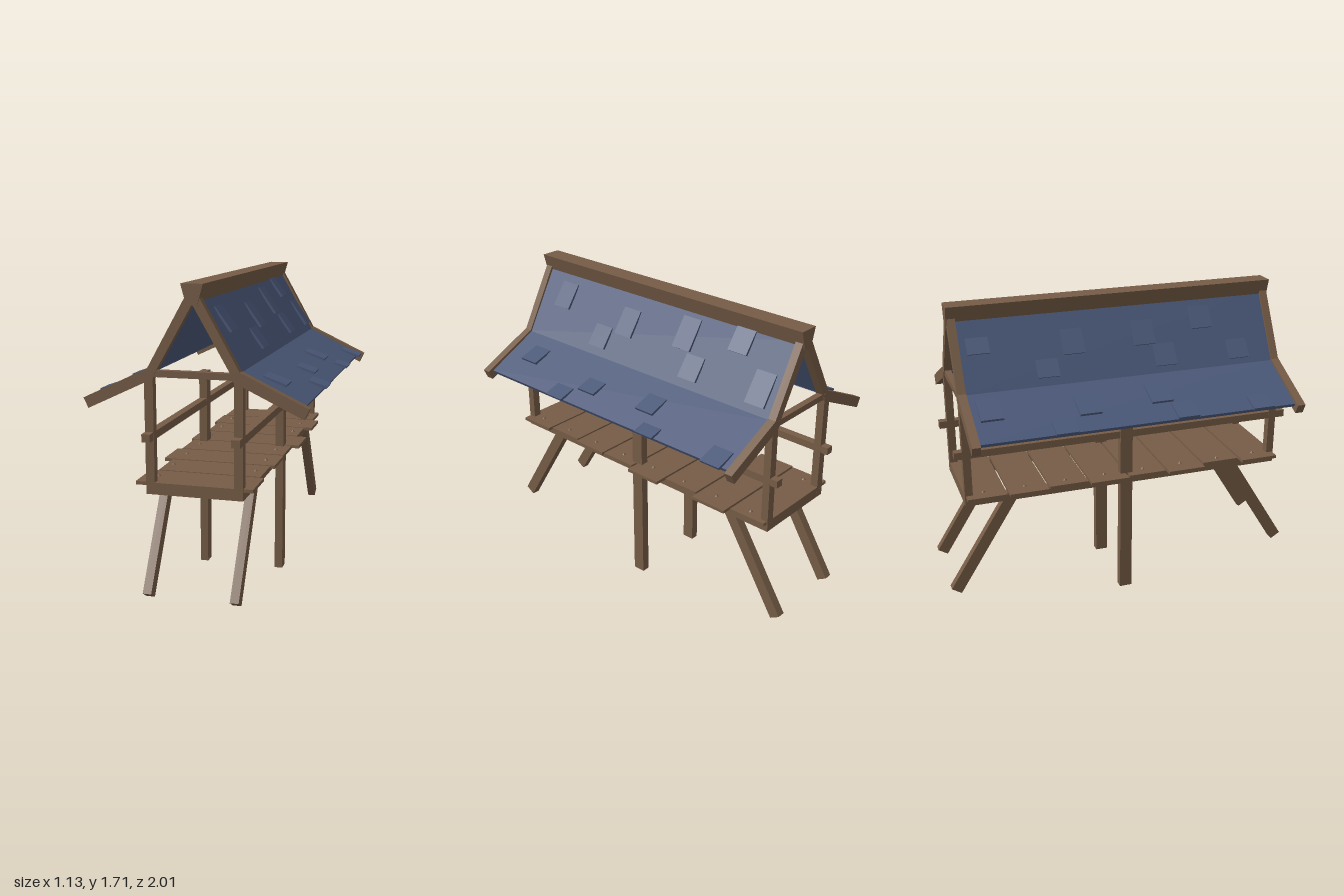
import * as THREE from 'three';

const wood = new THREE.MeshStandardMaterial({ color: 0x765c46, flatShading: true });
const slate = new THREE.MeshStandardMaterial({ color: 0x4a5878, flatShading: true });

const Z_FRONT = 0.897, Z_BACK = -0.876, Z_MID = 0.01;

export function createModel() {
  const model = new THREE.Group();

  function add(name, geometry, material, x = 0, y = 0, z = 0) {
    const mesh = new THREE.Mesh(geometry, material);
    mesh.name = name;
    mesh.position.set(x, y, z);
    model.add(mesh);
    return mesh;
  }

  // Box given by its bottom height and top height
  function beam(name, w, y0, y1, d, x, z) {
    return add(name, new THREE.BoxGeometry(w, y1 - y0, d), wood, x, (y0 + y1) / 2, z);
  }

  // Cross-section in x/y run along z; side = -1 mirrors it
  function prism(name, points, z0, z1, material, side = 1) {
    const shape = new THREE.Shape(points.map(([x, y]) => new THREE.Vector2(x * side, y)));
    const geometry = new THREE.ExtrudeGeometry(shape, { depth: z1 - z0, bevelEnabled: false });
    return add(name, geometry, material, 0, 0, z0);
  }

  // Slab between two points of a roof slope, at given offsets from its surface
  function slab(name, a, b, low, high, z0, z1, material, side) {
    const dx = b[0] - a[0], dy = b[1] - a[1], l = Math.hypot(dx, dy);
    const n = [-dy / l, dx / l];
    const at = (p, o) => [p[0] + n[0] * o, p[1] + n[1] * o];
    const pts = [at(a, low[0]), at(b, low[1]), at(b, high[1]), at(a, high[0])];
    return prism(name, pts, z0, z1, material, side);
  }

  // Roof slopes on the +x side, from the high to the low point
  const slopes = {
    upper: [[0.02, 1.645], [0.226, 1.29]],
    lower: [[0.226, 1.29], [0.532, 1.139]],
  };
  const onSlope = ([a, b], x) => [x, a[1] + (b[1] - a[1]) * (x - a[0]) / (b[0] - a[0])];

  // Loose shingles: [z centre, x at top, x at bottom]
  const shingles = {
    1: {
      upper: [[0.69, 0.055, 0.13], [0.185, 0.072, 0.15], [0.34, 0.14, 0.203], [-0.22, 0.045, 0.133],
        [-0.32, 0.137, 0.203], [-0.56, 0.03, 0.096], [-0.757, 0.117, 0.205]],
      lower: [[0.69, 0.3, 0.41], [0.185, 0.36, 0.45], [0.34, 0.455, 0.545], [-0.22, 0.32, 0.43],
        [-0.32, 0.475, 0.545], [-0.757, 0.445, 0.55]],
    },
    '-1': {
      upper: [[-0.76, 0.08, 0.125], [-0.41, 0.155, 0.205], [-0.255, 0.08, 0.15], [0.145, 0.075, 0.145],
        [0.25, 0.145, 0.208], [0.49, 0.05, 0.115], [0.68, 0.155, 0.21]],
      lower: [[-0.76, 0.265, 0.41], [-0.41, 0.445, 0.545], [-0.255, 0.32, 0.445], [0.145, 0.29, 0.425],
        [0.25, 0.425, 0.54], [0.68, 0.44, 0.545]],
    },
  };

  for (const side of [1, -1]) {
    const x = 0.225 * side;

    // Supports, rails and long floor beams
    beam('middlePost', 0.045, 0, 1.14, 0.07, x, Z_MID);
    beam('floorBeam', 0.045, 0.67, 0.715, 1.815, x, Z_MID);
    beam('handRail', 0.043, 0.945, 0.985, 1.912, x, 0.016);
    for (const z of [Z_FRONT, Z_BACK]) beam('cornerPost', 0.045, 0.67, 1.275, 0.042, x, z);

    // Splayed legs
    for (const end of [1, -1]) {
      const leg = add('splayedLeg', new THREE.BoxGeometry(0.045, 0.635, 0.063), wood, x, 0.43, 0.808 * end);
      leg.rotation.x = -Math.atan2(0.325, 0.52) * end;
    }

    // Gable rafters
    for (const z of [Z_FRONT, Z_BACK]) {
      prism('upperRafter', [[0.235, 1.29], [0.035, 1.645], [-0.005, 1.62], [0.19, 1.28]],
        z - 0.0215, z + 0.0215, wood, side);
      prism('lowerRafter', [[0.232, 1.298], [0.565, 1.14], [0.541, 1.088], [0.2, 1.25], [0.19, 1.288]],
        z - 0.0225, z + 0.0225, wood, side);
    }

    // Roof panels and shingles
    for (const key of ['upper', 'lower']) {
      const slope = slopes[key];
      slab(key + 'RoofPanel', ...slope, [-0.02, -0.02], [0, 0], Z_BACK, Z_FRONT, slate, side);
      for (const [z, x0, x1] of shingles[side][key]) {
        slab('shingle', onSlope(slope, x0), onSlope(slope, x1), [-0.005, 0.008], [0.006, 0.022],
          z - 0.059, z + 0.059, slate, side);
      }
    }
  }

  // Cross members at both gables
  for (const z of [Z_FRONT, Z_BACK]) {
    beam('endBeam', 0.494, 0.67, 0.73, 0.042, 0, z);
    beam('tieBeam', 0.42, 1.257, 1.29, 0.035, 0, z);
  }

  // Ridge beam
  prism('ridgeBeam', [[-0.055, 1.707], [0.055, 1.707], [0.027, 1.605], [-0.027, 1.605]],
    -0.903, 0.923, wood);

  // Uneven deck planks with nails
  const count = 8, pitch = 1.815 / count;
  const widths = [0.57, 0.62, 0.55, 0.64, 0.58, 0.61, 0.54, 0.6];
  const nail = new THREE.ConeGeometry(0.012, 0.012, 6);
  for (let i = 0; i < count; i++) {
    const z = Z_MID + (i - (count - 1) / 2) * pitch;
    const shift = ((i * 3) % 5 - 2) * 0.005;
    beam('deckPlank', widths[i], 0.713, 0.73, pitch - 0.012, shift, z);
    for (const side of [1, -1]) add('nail', nail, wood, 0.225 * side, 0.735, z + side * 0.01);
  }

  return model;
}
